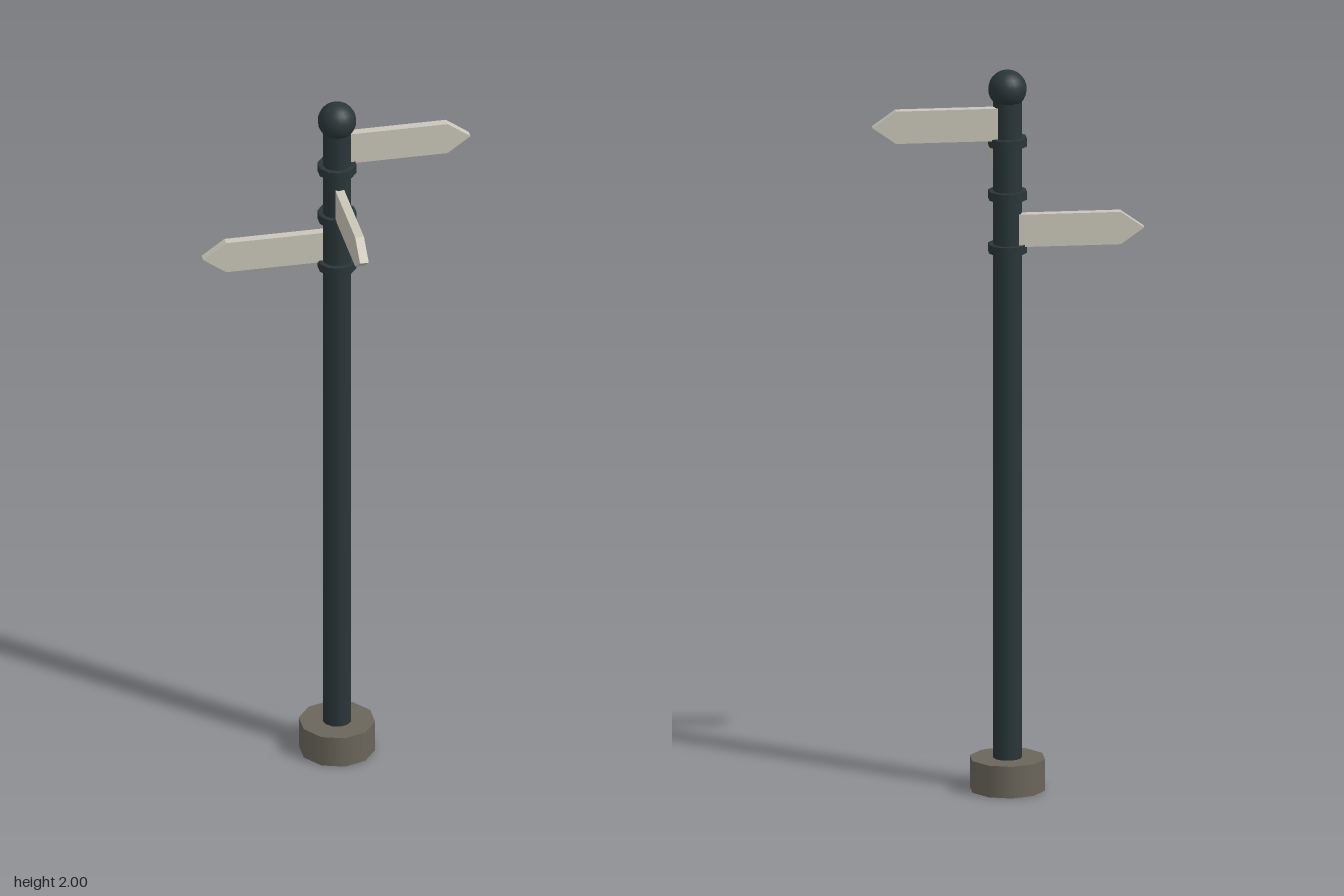
import * as THREE from 'three';

export function createModel() {
  const model = new THREE.Group();
  model.name = 'signpost';

  const material = (name, color) => {
    const m = new THREE.MeshStandardMaterial({ color });
    m.name = name;
    return m;
  };
  const iron = material('dark iron', 0x2a3638);
  const stone = material('stone', 0x6b665b);
  const paint = material('cream paint', 0xcac6b8);

  // everything is arranged around the pole axis
  const post = new THREE.Group();
  post.name = 'post';
  post.position.z = -0.127;
  model.add(post);

  const add = (name, geometry, mat, y) => {
    const mesh = new THREE.Mesh(geometry, mat);
    mesh.name = name;
    mesh.position.y = y;
    post.add(mesh);
    return mesh;
  };

  // footing, pole and ball finial
  add('base', new THREE.CylinderGeometry(0.103, 0.103, 0.088, 10), stone, 0.044);
  add('pole', new THREE.CylinderGeometry(0.039, 0.039, 1.86, 12), iron, 1.0);
  add('finial', new THREE.SphereGeometry(0.052, 20, 14), iron, 1.948);

  // collar under each sign
  for (const y of [1.802, 1.654, 1.506]) {
    add('collar', new THREE.CylinderGeometry(0.053, 0.053, 0.024, 10), iron, y);
  }

  // pointed sign board, running along +x from inside the pole
  const signBoard = (length) => {
    const h = 0.045, depth = 0.024;
    const shape = new THREE.Shape();
    shape.moveTo(0.01, -h);
    shape.lineTo(length - 0.063, -h);
    shape.lineTo(length, 0);
    shape.lineTo(length - 0.063, h);
    shape.lineTo(0.01, h);
    shape.closePath();
    const geometry = new THREE.ExtrudeGeometry(shape, { depth, bevelEnabled: false });
    return geometry.translate(0, 0, -depth / 2);
  };

  // three arms: left, front and right
  const left = add('leftSign', signBoard(0.367), paint, 1.855);
  left.position.z = -0.013;
  const front = add('frontSign', signBoard(0.356), paint, 1.707);
  front.rotation.y = -Math.PI / 2;
  const right = add('rightSign', signBoard(0.367), paint, 1.558);
  right.position.z = -0.013;
  right.rotation.y = Math.PI;

  return model;
}
